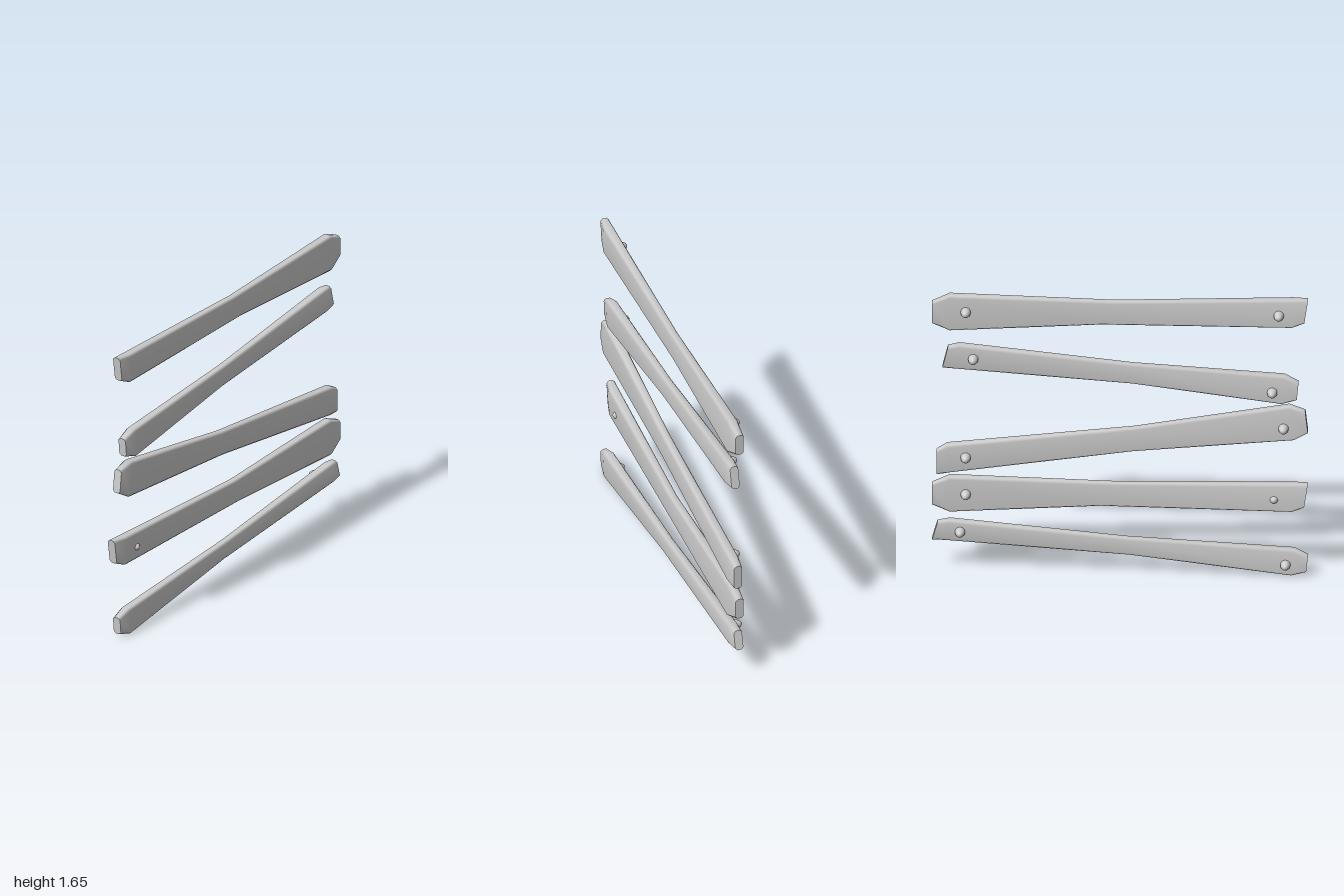
import * as THREE from 'three';

const material = new THREE.MeshStandardMaterial({ color: 0xcccccc });

// Back and front face (x) of a plank at its five stations
const BACK = [-0.01, -0.01, -0.004, -0.01, -0.01];
const FRONT = [0.036, 0.05, 0.045, 0.05, 0.036];
const BEVEL = 0.012;

// Each plank: [z, y] of upper and lower edge at five stations, peg [z, y], sideways bend
const PLANKS = [
  { top: [[1, 1.65], [0.92, 1.647], [-0.03, 1.617], [-0.905, 1.64], [-1, 1.6]],
    bottom: [[0.98, 1.51], [0.915, 1.482], [-0.1, 1.48], [-0.905, 1.433], [-1, 1.475]],
    pegs: [[0.845, 1.56], [-0.82, 1.55]], bend: 0 },
  { top: [[0.95, 1.155], [0.875, 1.19], [0.065, 1.245], [-0.855, 1.345], [-0.915, 1.335]],
    bottom: [[0.94, 1.05], [0.86, 1.025], [0.065, 1.13], [-0.875, 1.205], [-0.945, 1.21]],
    pegs: [[0.81, 1.1], [-0.78, 1.27]], bend: 0 },
  { top: [[0.985, 0.985], [0.9, 1.01], [0.08, 0.865], [-0.92, 0.745], [-0.975, 0.715]],
    bottom: [[1, 0.855], [0.925, 0.81], [0.07, 0.725], [-0.905, 0.583], [-0.975, 0.57]],
    pegs: [[0.87, 0.885], [-0.82, 0.68]], bend: 0 },
  { top: [[1, 0.565], [0.92, 0.561], [-0.03, 0.532], [-0.905, 0.555], [-1, 0.515]],
    bottom: [[0.98, 0.425], [0.915, 0.397], [-0.1, 0.395], [-0.905, 0.348], [-1, 0.39]],
    pegs: [[0.82, 0.47], [-0.82, 0.46]], bend: 0.035 },
  { top: [[1, 0.12], [0.925, 0.152], [0.035, 0.205], [-0.905, 0.295], [-0.97, 0.287]],
    bottom: [[0.99, 0.022], [0.91, 0], [0.05, 0.105], [-0.93, 0.178], [-1, 0.18]],
    pegs: [[0.88, 0.07], [-0.85, 0.235]], bend: 0 },
];

// Bevelled eight-sided sections lofted along the plank, with flat ends
function plankGeometry({ top, bottom, bend }) {
  const rings = top.map(([tz, ty], i) => {
    const [bz, by] = bottom[i];
    const k = BEVEL / Math.hypot(tz - bz, ty - by);
    const x0 = BACK[i], x1 = FRONT[i];
    const section = [
      [x1, k], [x1, 1 - k], [x1 - BEVEL, 1], [x0 + BEVEL, 1],
      [x0, 1 - k], [x0, k], [x0 + BEVEL, 0], [x1 - BEVEL, 0],
    ];
    return section.map(([x, t]) => {
      const z = bz + (tz - bz) * t;
      return [x - bend * Math.max(0, z), by + (ty - by) * t, z];
    });
  });
  const n = 8, last = rings.length - 1, index = [];
  for (let i = 0; i < last; i++) {
    for (let j = 0; j < n; j++) {
      const a = i * n + j, b = i * n + (j + 1) % n;
      index.push(a, a + n, b, b, a + n, b + n);
    }
  }
  // End caps use their own vertices so their edges stay crisp
  const c0 = rings.length * n, c1 = c0 + n;
  for (let j = 1; j < n - 1; j++) {
    index.push(c0, c0 + j, c0 + j + 1, c1, c1 + j + 1, c1 + j);
  }
  const points = [...rings, rings[0], rings[last]].flat(2);
  const geometry = new THREE.BufferGeometry();
  geometry.setAttribute('position', new THREE.Float32BufferAttribute(points, 3));
  geometry.setIndex(index);
  geometry.computeVertexNormals();
  return geometry;
}

export function createModel() {
  const model = new THREE.Group();
  model.name = 'plankWall';
  const pegGeometry = new THREE.SphereGeometry(1, 20, 14);
  pegGeometry.rotateZ(Math.PI / 2);
  pegGeometry.scale(0.045, 0.027, 0.027);

  PLANKS.forEach((spec, i) => {
    const group = new THREE.Group();
    group.name = `plankWithPegs${i + 1}`;
    const plank = new THREE.Mesh(plankGeometry(spec), material);
    plank.name = 'plank';
    group.add(plank);
    // Rounded pegs on the back face near both ends
    for (const [z, y] of spec.pegs) {
      const peg = new THREE.Mesh(pegGeometry, material);
      peg.name = 'peg';
      peg.position.set(-0.011, y, z);
      group.add(peg);
    }
    model.add(group);
  });
  return model;
}
